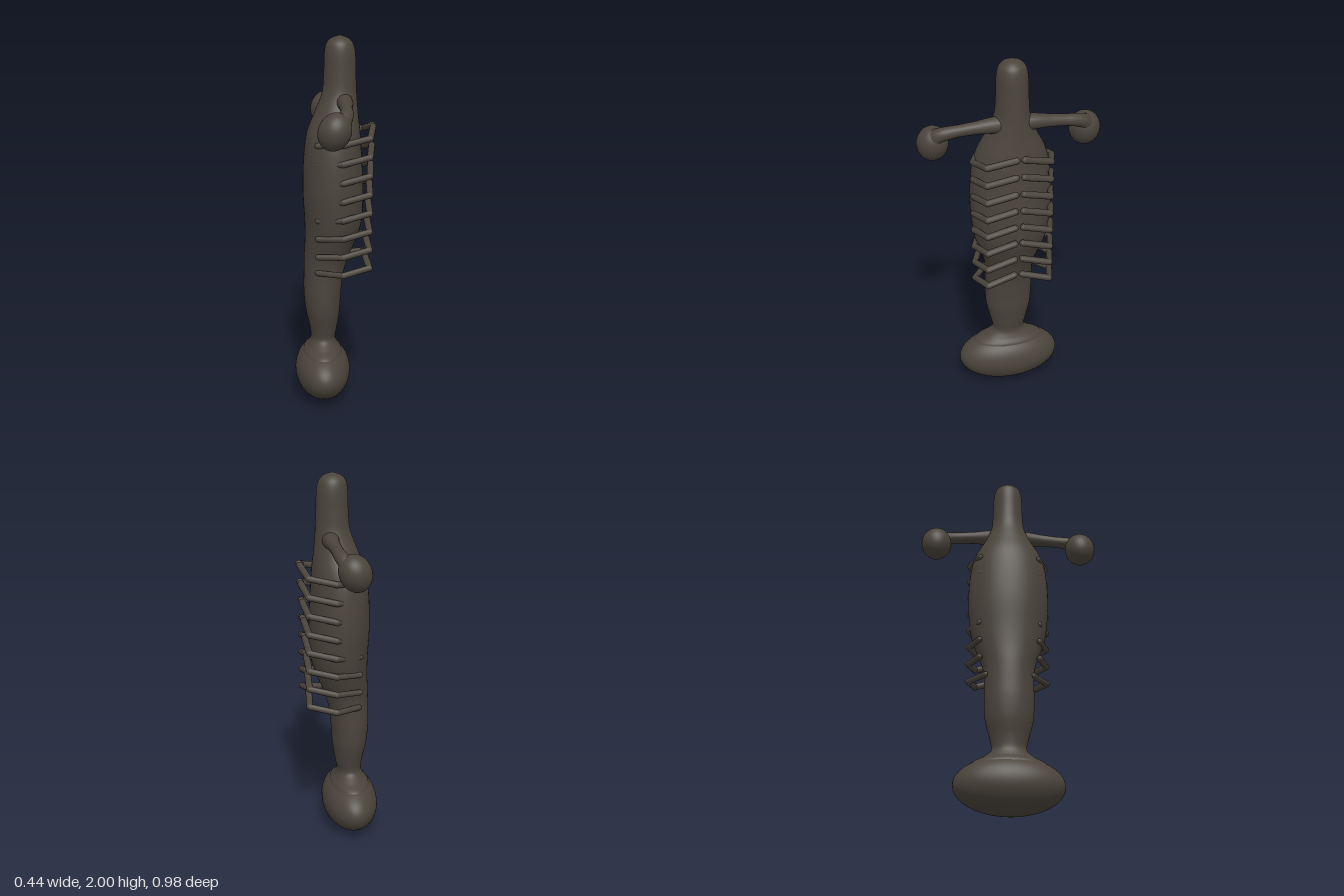
import * as THREE from 'three';
import { mergeVertices, mergeGeometries } from 'three/addons/utils/BufferGeometryUtils.js';

const darkBrown = new THREE.MeshStandardMaterial({ color: 0x4a443b });
darkBrown.name = 'darkBrown';

const V = (x, y, z) => new THREE.Vector3(x, y, z);

function part(name, geometry) {
  const mesh = new THREE.Mesh(geometry, darkBrown);
  mesh.name = name;
  return mesh;
}

// Weld seams and recompute smooth normals
function smooth(geometry) {
  geometry.deleteAttribute('uv');
  geometry.deleteAttribute('normal');
  const g = mergeVertices(geometry, 1e-5);
  g.computeVertexNormals();
  return g;
}

// Loft of elliptical sections; each row is [y, back x, front x, half depth]
function loft(rows, segments, rings) {
  const centre = new THREE.CatmullRomCurve3(rows.map(([y, a, b]) => V((a + b) / 2, y, 0)), false, 'centripetal');
  const radii = new THREE.CatmullRomCurve3(rows.map(([y, a, b, d]) => V((b - a) / 2, y, d)), false, 'centripetal');
  const g = new THREE.CylinderGeometry(1, 1, 1, segments, rings, true);
  const p = g.attributes.position;
  for (let i = 0; i < p.count; i++) {
    const t = p.getY(i) + 0.5;
    const c = centre.getPoint(t), r = radii.getPoint(t);
    p.setXYZ(i, c.x + p.getX(i) * r.x, c.y, p.getZ(i) * r.z);
  }
  return smooth(g);
}

// Tube whose radius follows a list of values along its length
function taperedTube(points, radii, segments, sides) {
  const path = new THREE.CatmullRomCurve3(points);
  const g = new THREE.TubeGeometry(path, segments, 1, sides);
  const p = g.attributes.position, v = V(0, 0, 0);
  for (let i = 0; i < p.count; i++) {
    const u = Math.floor(i / (sides + 1)) / segments;
    const k = u * (radii.length - 1), n = Math.min(Math.floor(k), radii.length - 2);
    const r = THREE.MathUtils.lerp(radii[n], radii[n + 1], k - n);
    const c = path.getPointAt(u);
    v.fromBufferAttribute(p, i).sub(c).multiplyScalar(r).add(c);
    p.setXYZ(i, v.x, v.y, v.z);
  }
  return smooth(g);
}

// Rounded rod between two points
function rod(a, b, radius) {
  const d = b.clone().sub(a);
  const g = new THREE.CapsuleGeometry(radius, d.length(), 5, 12);
  g.applyQuaternion(new THREE.Quaternion().setFromUnitVectors(V(0, 1, 0), d.normalize()));
  const m = a.clone().add(b).multiplyScalar(0.5);
  return g.translate(m.x, m.y, m.z);
}

export function createModel() {
  const model = new THREE.Group();
  model.name = 'ribbedFigure';

  // Trunk from the base up to the rounded head
  model.add(part('trunk', loft([
    [0.20, -0.19, 0.05, 0.22], [0.27, -0.175, 0.035, 0.195], [0.30, -0.152, 0.015, 0.14],
    [0.34, -0.135, 0.0, 0.093], [0.40, -0.14, 0.01, 0.1], [0.50, -0.162, 0.025, 0.125],
    [0.60, -0.172, 0.032, 0.132], [0.70, -0.172, 0.043, 0.132], [0.80, -0.17, 0.07, 0.138],
    [0.90, -0.165, 0.11, 0.17], [1.00, -0.165, 0.142, 0.2], [1.20, -0.174, 0.15, 0.22],
    [1.40, -0.165, 0.14, 0.208], [1.50, -0.148, 0.133, 0.182], [1.60, -0.108, 0.122, 0.132],
    [1.70, -0.07, 0.114, 0.094], [1.80, -0.06, 0.11, 0.085], [1.92, -0.055, 0.105, 0.08],
    [1.96, -0.045, 0.093, 0.069], [1.985, -0.02, 0.068, 0.044], [2.0, 0.023, 0.025, 0.001],
  ], 48, 120)));

  // Egg-shaped base
  const base = part('base', new THREE.SphereGeometry(1, 48, 32));
  base.scale.set(0.152, 0.152, 0.287);
  base.position.set(-0.07, 0.155, 0);
  model.add(base);

  for (const s of [1, -1]) {
    const side = s > 0 ? 'front' : 'back';

    // Arm reaching out to a drooping bulb
    model.add(part(side + 'Arm', taperedTube([
      V(0.03, 1.65, 0), V(0.045, 1.66, 0.1 * s), V(0.042, 1.652, 0.22 * s),
      V(0.037, 1.64, 0.33 * s), V(0.022, 1.622, 0.385 * s), V(-0.03, 1.56, 0.405 * s),
    ], [0.06, 0.044, 0.034, 0.031, 0.037, 0.07], 40, 20)));
    const bulb = part(side + 'Bulb', new THREE.SphereGeometry(1, 32, 24));
    bulb.scale.set(0.083, 0.098, 0.083);
    bulb.rotation.z = -0.4;
    bulb.position.set(-0.028, 1.564, 0.405 * s);
    model.add(bulb);

    // Eight bent ribs, leaving the trunk and hooking in towards the middle
    for (let i = 0; i < 8; i++) {
      const y = 0.75 + 0.1 * i;
      const path = [
        V(-0.1, y - 0.002, (i ? 0.16 : 0.125) * s), V(0.03, y + 0.008, 0.21 * s),
        V(0.172, y + 0.035, 0.168 * s), V(0.158 + 0.006 * i, y + 0.073, 0.021 * s),
      ];
      const rods = [0.016, 0.017, 0.018].map((r, k) => rod(path[k], path[k + 1], r));
      model.add(part(side + 'Rib' + (i + 1), mergeGeometries(rods)));
    }
  }
  return model;
}
